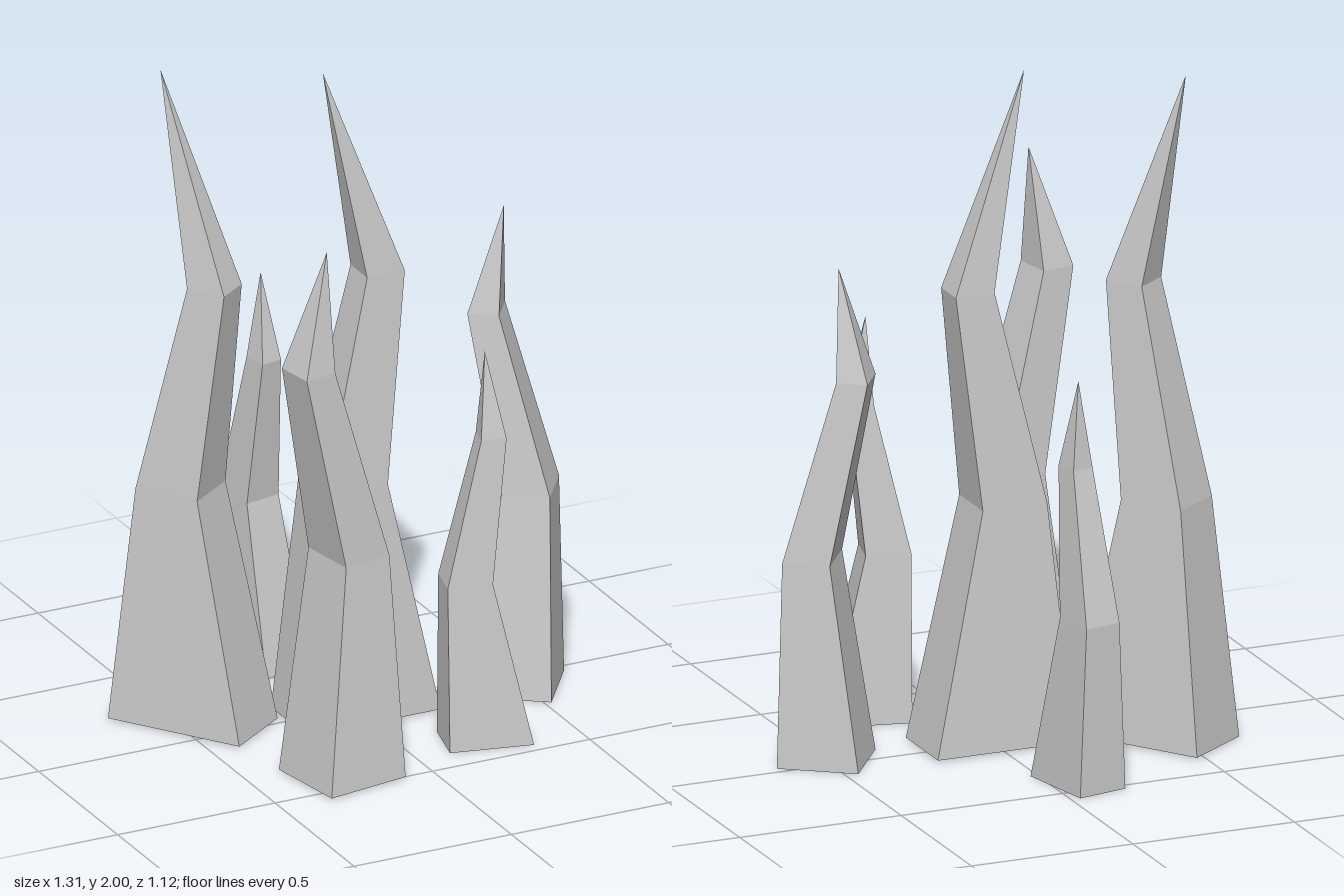
import * as THREE from 'three';

// Rectangular cross-sections, bottom to tip: [height, offsetX, offsetZ, halfX, halfZ]
const BROAD = [
  [0, 0, 0, 0.213, 0.115],
  [0.72, -0.04, 0, 0.1, 0.085],
  [1.36, 0.07, 0, 0.06, 0.053],
  [2, -0.105, 0, 0, 0],
];
const SQUARE = [
  [0, 0, 0, 0.13, 0.127],
  [0.67, 0.04, -0.023, 0.076, 0.091],
  [1.265, -0.1, -0.025, 0.05, 0.06],
  [1.62, -0.043, -0.016, 0, 0],
];
const SLIM = [
  [0, 0, 0, 0.123, 0.078],
  [0.5, -0.058, 0, 0.066, 0.057],
  [0.94, 0.016, 0.003, 0.037, 0.033],
  [1.2, -0.002, 0, 0, 0],
];

// Skins the sections with flat faces, ending in a point
function spikeGeometry(sections) {
  const rings = sections.map(([y, ox, oz, hx, hz]) =>
    [[1, 1], [1, -1], [-1, -1], [-1, 1]].map(([sx, sz]) => [ox + sx * hx, y, oz + sz * hz]));
  const pos = [];
  const tri = (a, b, c) => pos.push(...a, ...b, ...c);
  const last = rings.length - 1;
  for (let r = 0; r < last; r++) {
    for (let i = 0; i < 4; i++) {
      const j = (i + 1) % 4;
      tri(rings[r][i], rings[r][j], rings[r + 1][j]);
      if (r + 1 < last) tri(rings[r][i], rings[r + 1][j], rings[r + 1][i]);
    }
  }
  const [a, b, c, d] = rings[0];
  tri(a, c, b); // underside
  tri(a, d, c);
  const geo = new THREE.BufferGeometry();
  geo.setAttribute('position', new THREE.Float32BufferAttribute(pos, 3));
  geo.computeVertexNormals();
  return geo;
}

export function createModel() {
  const group = new THREE.Group();
  group.name = 'spikeCluster';
  const material = new THREE.MeshStandardMaterial({ color: 0xcccccc, flatShading: true });
  const broad = spikeGeometry(BROAD);
  const square = spikeGeometry(SQUARE);
  const slim = spikeGeometry(SLIM);

  // name, geometry, x, base y, z, direction of local x on the ground (x, z), scale
  const spikes = [
    ['centreSpike', broad, 0, 0.005, 0.015, 1, 0, 0.995],
    ['backRightSpike', broad, -0.445, 0.005, -0.13, 0.574, 0.82, 0.995],
    ['frontRightSpike', square, -0.24, 0.005, 0.408, 0.985, -0.165, 1],
    ['leftSpike', square, 0.491, 0, 0.055, 0.81, 0.58, 0.91],
    ['frontLeftSpike', slim, 0.239, 0, 0.36, 0.975, 0.222, 1],
    ['backSpike', slim, -0.08, 0, -0.425, 0.2, 0.98, 1],
  ];
  for (const [name, geo, x, y, z, dx, dz, scale] of spikes) {
    const mesh = new THREE.Mesh(geo, material);
    mesh.name = name;
    mesh.position.set(x, y, z);
    mesh.rotation.y = -Math.atan2(dz, dx);
    mesh.scale.setScalar(scale);
    group.add(mesh);
  }
  return group;
}
